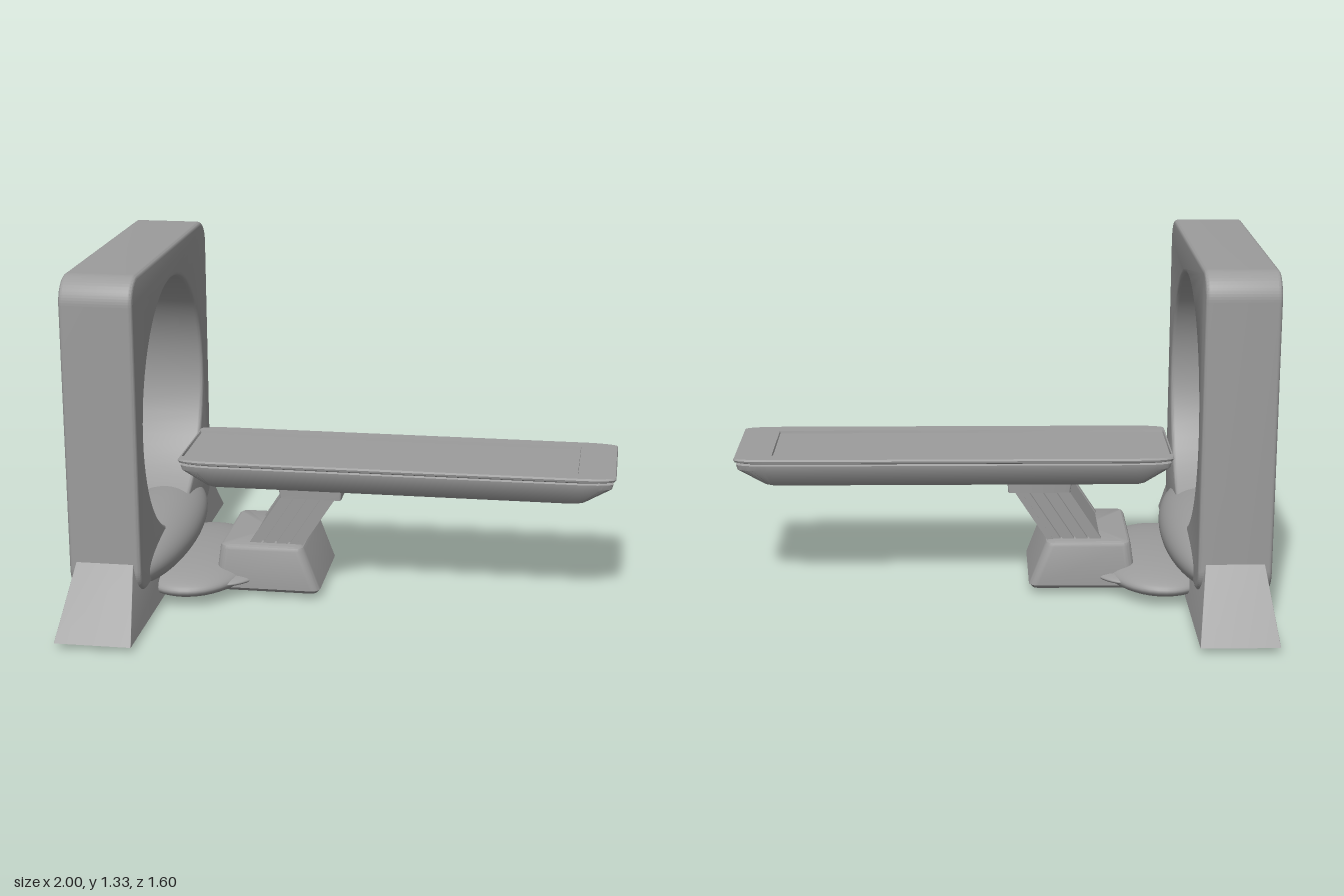
import * as THREE from 'three';
import { toCreasedNormals } from 'three/addons/utils/BufferGeometryUtils.js';

const material = new THREE.MeshStandardMaterial({ color: 0x9c9c9c });

function add(group, name, geometry) {
  const mesh = new THREE.Mesh(geometry, material);
  mesh.name = name;
  group.add(mesh);
  return mesh;
}

// Rectangle in the xz plane with elliptical corners
function outline([y, x0, x1, hz, rx, rz], steps = 8) {
  const points = [];
  const corners = [[x1 - rx, hz - rz], [x0 + rx, hz - rz], [x0 + rx, rz - hz], [x1 - rx, rz - hz]];
  corners.forEach(([cx, cz], k) => {
    for (let i = 0; i <= steps; i++) {
      const t = (k + i / steps) * Math.PI / 2;
      points.push([cx + rx * Math.cos(t), y, cz + rz * Math.sin(t)]);
    }
  });
  return points;
}

// Closed skin through rings [y, x0, x1, half depth, corner rx, corner rz]
function loft(specs) {
  const rings = specs.map((s) => outline(s));
  const n = rings[0].length;
  const position = [];
  const tri = (a, b, c) => position.push(...a, ...b, ...c);
  const middle = (s) => [(s[1] + s[2]) / 2, s[0], 0];
  const last = rings.length - 1;
  for (let j = 0; j < n; j++) {
    const k = (j + 1) % n;
    for (let i = 0; i < last; i++) {
      tri(rings[i][j], rings[i + 1][j], rings[i][k]);
      tri(rings[i][k], rings[i + 1][j], rings[i + 1][k]);
    }
    tri(middle(specs[0]), rings[0][j], rings[0][k]);
    tri(middle(specs[last]), rings[last][k], rings[last][j]);
  }
  const g = new THREE.BufferGeometry();
  g.setAttribute('position', new THREE.Float32BufferAttribute(position, 3));
  return toCreasedNormals(g, 0.5);
}

function ellipsoid(group, name, center, radii) {
  const mesh = add(group, name, new THREE.SphereGeometry(1, 48, 32));
  mesh.position.set(...center);
  mesh.scale.set(...radii);
}

// Slanted slab: x range at the bottom, extruded along z
function slantedSlab(x0, x1, z0, z1) {
  const lean = 0.15, low = 0.19, high = 0.42;
  const shape = new THREE.Shape([
    new THREE.Vector2(x0, low), new THREE.Vector2(x1, low),
    new THREE.Vector2(x1 + lean, high), new THREE.Vector2(x0 + lean, high)]);
  return new THREE.ExtrudeGeometry(shape, { depth: z1 - z0, bevelEnabled: false }).translate(0, 0, z0);
}

function gantryRing() {
  const w = 0.6, y0 = 0.135, y1 = 1.33, r = 0.1, bevel = 0.015, depth = 0.27;
  const s = new THREE.Shape();
  s.absarc(w - r, y0 + r, r, -Math.PI / 2, 0);
  s.absarc(w - r, y1 - r, r, 0, Math.PI / 2);
  s.absarc(r - w, y1 - r, r, Math.PI / 2, Math.PI);
  s.absarc(r - w, y0 + r, r, Math.PI, Math.PI * 1.5);
  s.closePath();
  const hole = new THREE.Path();
  hole.absarc(0, 0.72, 0.486, 0, Math.PI * 2, true);
  s.holes.push(hole);
  const g = new THREE.ExtrudeGeometry(s, {
    depth: depth - 2 * bevel, bevelThickness: bevel, bevelSize: bevel,
    bevelOffset: -bevel, bevelSegments: 4, curveSegments: 32,
  });
  g.translate(0, 0, bevel).rotateY(Math.PI / 2).translate(-0.988, 0, 0);
  return toCreasedNormals(g, 0.5);
}

export function createModel() {
  const model = new THREE.Group();
  model.name = 'scannerWithTable';

  // Upright scanner frame on its tapered foot
  const gantry = new THREE.Group();
  gantry.name = 'gantry';
  model.add(gantry);
  add(gantry, 'gantryRing', gantryRing());
  add(gantry, 'gantryFoot', loft([
    [0.02, -0.997, -0.71, 0.8, 0.001, 0.001],
    [0.262, -0.96, -0.745, 0.6, 0.001, 0.001],
  ]));

  // Smooth fairings on the floor
  ellipsoid(gantry, 'gantryFairing', [-0.82, 0.18, 0], [0.18, 0.118, 0.57]);
  ellipsoid(gantry, 'floorDisc', [-0.63, 0.07, 0], [0.24, 0.07, 0.378]);
  ellipsoid(gantry, 'floorDiscLip', [-0.5, 0.07, 0], [0.17, 0.032, 0.28]);

  // Table pedestal
  const table = new THREE.Group();
  table.name = 'table';
  model.add(table);
  add(table, 'pedestal', loft([
    [0.024, -0.515, -0.13, 0.2, 0.025, 0.025],
    [0.038, -0.53, -0.118, 0.213, 0.035, 0.035],
    [0.195, -0.508, -0.177, 0.213, 0.035, 0.035],
    [0.207, -0.503, -0.184, 0.207, 0.03, 0.03],
    [0.212, -0.495, -0.193, 0.198, 0.025, 0.025],
  ]));

  // Slanted lifting arm with bars along both sides
  add(table, 'armCore', slantedSlab(-0.405, -0.207, -0.145, 0.145));
  for (const side of [-1, 1]) {
    for (let i = 0; i < 4; i++) {
      const x = -0.41 + i * 0.052;
      const z = side * 0.154;
      add(table, 'armBar', slantedSlab(x, x + 0.044, z - 0.013, z + 0.013));
    }
  }
  add(table, 'armFrontPlate', slantedSlab(-0.225, -0.2, -0.168, 0.168));
  add(table, 'armBracket', loft([
    [0.4, -0.275, -0.038, 0.175, 0.01, 0.01],
    [0.44, -0.28, -0.035, 0.175, 0.01, 0.01],
  ]));

  // Table top: tapered underside, grooved rim and recessed panel reaching the near end
  add(table, 'tableTop', loft([
    [0.435, -0.545, 0.865, 0.18, 0.03, 0.015],
    [0.44, -0.56, 0.885, 0.186, 0.04, 0.018],
    [0.505, -0.65, 0.985, 0.225, 0.13, 0.03],
    [0.525, -0.655, 0.99, 0.228, 0.13, 0.03],
    [0.53, -0.645, 0.98, 0.22, 0.13, 0.03],
    [0.535, -0.66, 0.995, 0.228, 0.13, 0.03],
    [0.543, -0.665, 1, 0.23, 0.13, 0.03],
    [0.55, -0.662, 0.997, 0.227, 0.13, 0.03],
    [0.55, -0.657, 0.858, 0.167, 0.002, 0.002],
    [0.54, -0.655, 0.856, 0.165, 0.002, 0.002],
  ]));

  return model;
}
